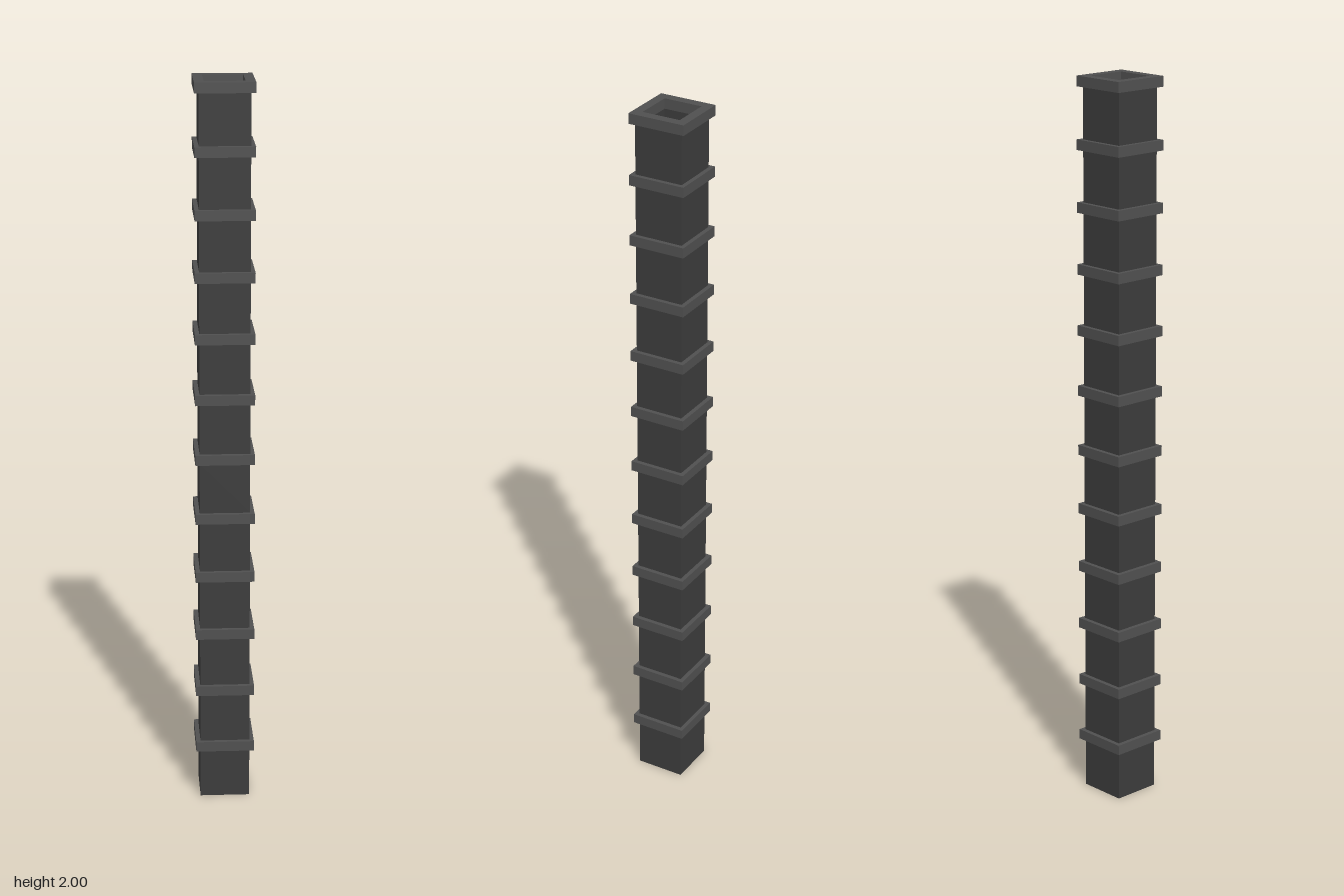
import * as THREE from 'three';

const SECTIONS = 12;
const SECTION_HEIGHT = 2 / SECTIONS;
const FLANGE_HEIGHT = 0.028;
const INNER = 0.054;

// Square outline, half-width r
function outline(PathType, r) {
  return new PathType().moveTo(-r, -r).lineTo(r, -r).lineTo(r, r).lineTo(-r, r).closePath();
}

// Upright square tube standing on y = 0
function squareTube(outer, inner, height) {
  const shape = outline(THREE.Shape, outer);
  shape.holes.push(outline(THREE.Path, inner));
  const geometry = new THREE.ExtrudeGeometry(shape, { depth: height, bevelEnabled: false });
  return geometry.rotateX(-Math.PI / 2);
}

export function createModel() {
  const model = new THREE.Group();
  model.name = 'squareDuct';

  const wallMaterial = new THREE.MeshStandardMaterial({ color: 0x3c3c3c });
  const flangeMaterial = new THREE.MeshStandardMaterial({ color: 0x505050 });
  const wallGeometry = squareTube(0.068, INNER, SECTION_HEIGHT - FLANGE_HEIGHT);
  const flangeGeometry = squareTube(0.08, INNER, FLANGE_HEIGHT);

  // Stacked sections, each a hollow wall with a flange around its top
  for (let i = 0; i < SECTIONS; i++) {
    const section = new THREE.Group();
    section.name = `section${i + 1}`;
    section.position.y = i * SECTION_HEIGHT;

    const wall = new THREE.Mesh(wallGeometry, wallMaterial);
    wall.name = 'ductWall';
    const flange = new THREE.Mesh(flangeGeometry, flangeMaterial);
    flange.name = 'flange';
    flange.position.y = SECTION_HEIGHT - FLANGE_HEIGHT;

    section.add(wall, flange);
    model.add(section);
  }
  return model;
}
